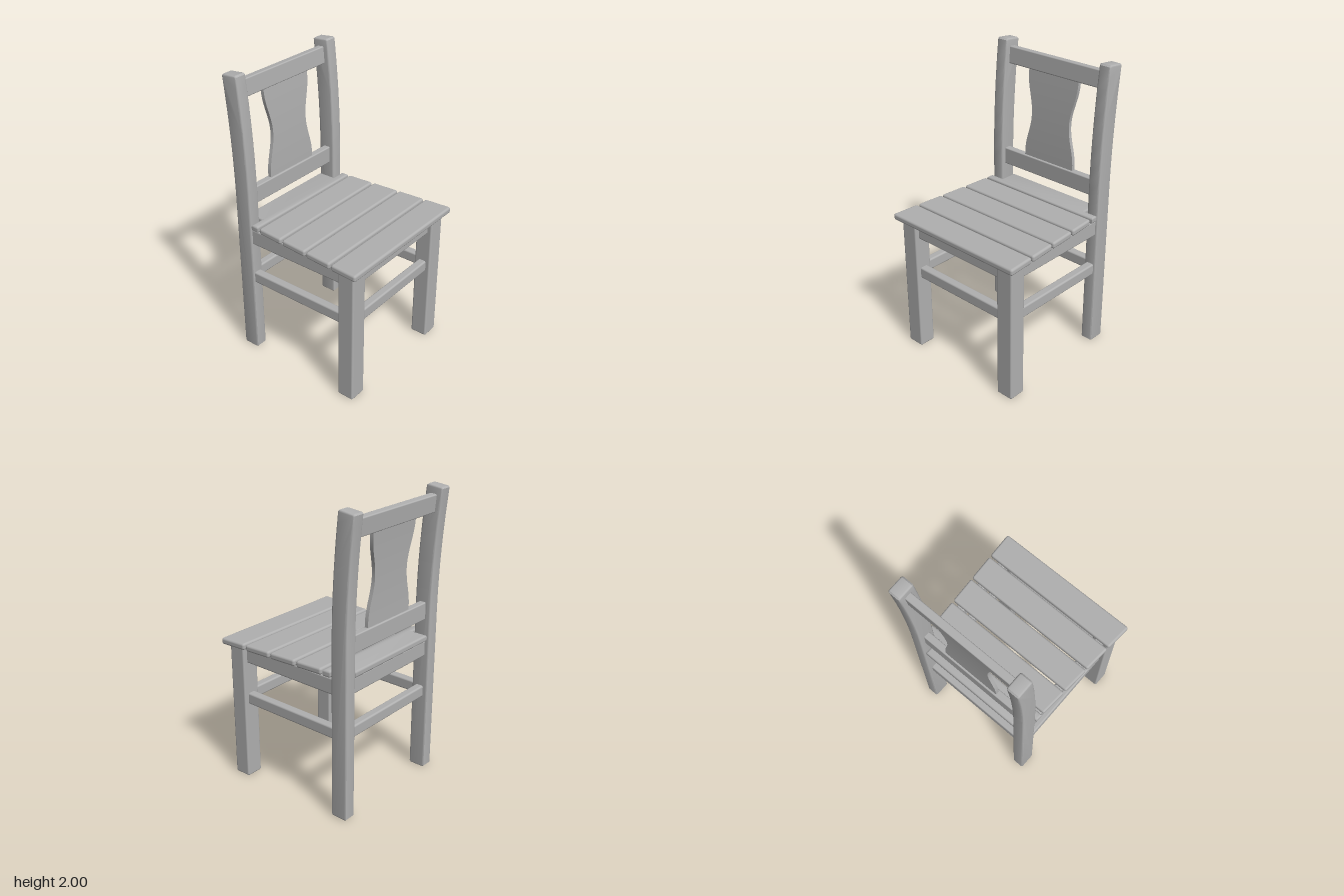
import * as THREE from 'three';
import { RoundedBoxGeometry } from 'three/addons/geometries/RoundedBoxGeometry.js';
import { toCreasedNormals } from 'three/addons/utils/BufferGeometryUtils.js';

// Backward lean of the chair back at height y (the seat faces +x)
const lean = (y) => -0.05 * Math.pow(Math.max(0, (y - 1.15) / 0.85), 2);

// Moves every vertex by a rule
function reshape(geometry, rule) {
  const p = geometry.attributes.position;
  const v = new THREE.Vector3();
  for (let i = 0; i < p.count; i++) {
    rule(v.fromBufferAttribute(p, i));
    p.setXYZ(i, v.x, v.y, v.z);
  }
  return geometry;
}

// Extrudes an outline with softened edges, keeping its overall size
function softExtrude(points, thickness, bevel) {
  const shape = new THREE.Shape(points.map(([x, y]) => new THREE.Vector2(x, y)));
  const geometry = new THREE.ExtrudeGeometry(shape, {
    depth: thickness - 2 * bevel, bevelEnabled: true, bevelThickness: bevel,
    bevelSize: bevel, bevelOffset: -bevel, bevelSegments: 3,
  });
  geometry.translate(0, 0, bevel - thickness / 2);
  return toCreasedNormals(geometry, 0.6);
}

export function createModel() {
  const chair = new THREE.Group();
  chair.name = 'chair';
  const wood = new THREE.MeshStandardMaterial({ color: 0xb0b0b0 });
  wood.name = 'grey wood';

  function add(name, geometry, x = 0, y = 0, z = 0) {
    const mesh = new THREE.Mesh(geometry, wood);
    mesh.name = name;
    mesh.position.set(x, y, z);
    chair.add(mesh);
    return mesh;
  }

  // Bar given by its lower and upper limits on each axis
  function bar(name, [x0, x1], [y0, y1], [z0, z1], radius = 0.012) {
    const geometry = new RoundedBoxGeometry(x1 - x0, y1 - y0, z1 - z0, 3, radius);
    return add(name, geometry, (x0 + x1) / 2, (y0 + y1) / 2, (z0 + z1) / 2);
  }

  // Back posts: straight below, curving backwards above the seat
  const c = 0.01;
  const frontEdge = [], backEdge = [];
  for (let i = 0; i <= 12; i++) {
    const y = 1.15 + (0.84 * i) / 12;
    frontEdge.push([-0.36 + lean(y), y]);
    backEdge.unshift([-0.48 + lean(y), y - 0.01 * (i / 12)]);
  }
  const postOutline = [
    [-0.48, c], [-0.48 + c, 0], [-0.36 - c, 0], [-0.36, c],
    ...frontEdge, [-0.42, 2], [-0.52, 1.99], ...backEdge,
  ];
  const postGeometry = softExtrude(postOutline, 0.087, 0.012);

  for (const [side, s] of [['left', 1], ['right', -1]]) {
    const zRange = (a, b) => (s > 0 ? [a, b] : [-b, -a]);
    add(side + 'BackPost', postGeometry, 0, 0, s * 0.426);
    bar(side + 'FrontLeg', [0.37, 0.49], [0, 0.96], zRange(0.364, 0.488));
    bar(side + 'SideApron', [-0.38, 0.39], [0.845, 0.958], zRange(0.397, 0.455));
    bar(side + 'SideStretcher', [-0.38, 0.39], [0.545, 0.625], zRange(0.397, 0.455));
  }

  // Cross aprons and stretchers at the front and the back
  for (const [end, x] of [['front', 0.43], ['back', -0.42]]) {
    const xs = [x - 0.029, x + 0.029];
    bar(end + 'Apron', xs, [0.845, 0.958], [-0.4, 0.4]);
    bar(end + 'Stretcher', xs, [0.545, 0.625], [-0.4, 0.4]);
  }

  // Seat boards, widening towards the front
  const halfWidth = (x) => 0.473 + 0.067 * (x + 0.28);
  for (const [x0, x1] of [[-0.281, -0.09], [-0.075, 0.118], [0.131, 0.323], [0.337, 0.53]]) {
    const mid = (x0 + x1) / 2;
    const board = new RoundedBoxGeometry(x1 - x0, 0.045, 1, 3, 0.015);
    reshape(board, (v) => { v.z *= 2 * halfWidth(v.x + mid); });
    add('seatBoard', board, mid, 0.983, 0);
  }

  // Rear seat board, notched around the posts
  const rearBoard = softExtrude([
    [-0.47, -0.372], [-0.35, -0.372], [-0.35, -0.47], [-0.297, -0.473],
    [-0.297, 0.473], [-0.35, 0.47], [-0.35, 0.372], [-0.47, 0.372],
  ], 0.045, 0.014);
  add('rearSeatBoard', rearBoard.rotateX(Math.PI / 2), 0, 0.983, 0);

  // Back rails
  bar('lowerBackRail', [-0.443, -0.393], [1.105, 1.225], [-0.4, 0.4], 0.008);
  bar('upperBackRail', [-0.485, -0.435], [1.828, 1.945], [-0.4, 0.4], 0.008).rotation.z = 0.09;

  // Waisted splat between the rails, following the lean
  const splat = new THREE.BoxGeometry(0.025, 0.68, 1, 1, 28, 1);
  reshape(splat, (v) => {
    const y = v.y + 1.53;
    const t = Math.min(1, Math.abs(v.y) / 0.28);
    v.z *= 2 * (0.184 - 0.024 * Math.cos(Math.PI * t));
    v.x += -0.418 + lean(y);
  });
  add('backSplat', toCreasedNormals(splat, 0.6), 0, 1.53, 0);

  return chair;
}
